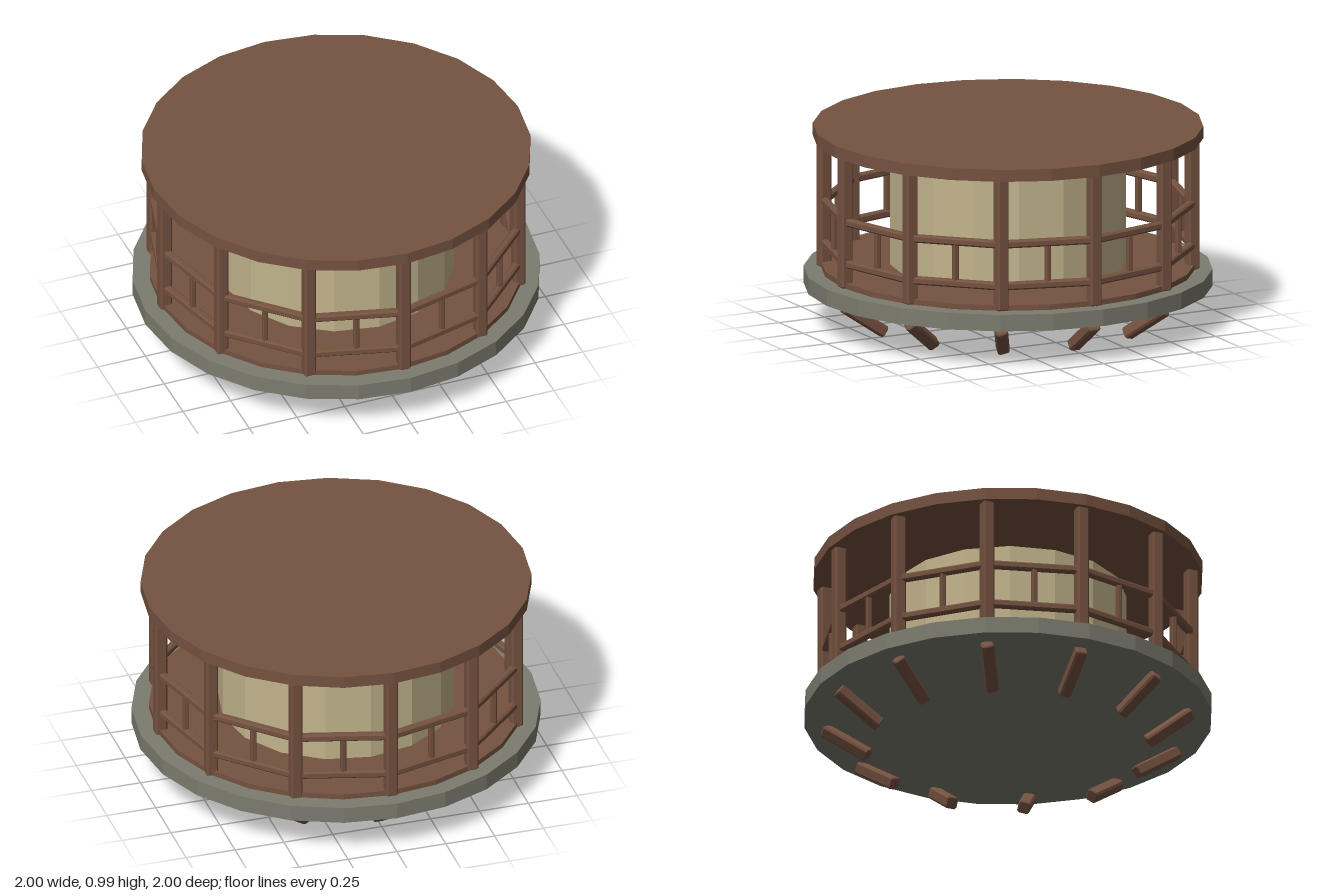
import * as THREE from 'three';

const wood = new THREE.MeshStandardMaterial({ color: 0x755240 });
wood.name = 'brown wood';
const stone = new THREE.MeshStandardMaterial({ color: 0x7c7c6f });
stone.name = 'grey stone';
const plaster = new THREE.MeshStandardMaterial({ color: 0xc2b48c });
plaster.name = 'pale plaster';

// Flat-faced drum standing on y0
function drum(name, material, radius, y0, y1, sides) {
  const g = new THREE.CylinderGeometry(radius, radius, y1 - y0, sides).toNonIndexed();
  g.computeVertexNormals();
  const mesh = new THREE.Mesh(g, material);
  mesh.name = name;
  mesh.position.y = (y0 + y1) / 2;
  return mesh;
}

// Square beam with chamfered edges, centred, running along y
function beamGeometry(width, length, chamfer) {
  const h = width / 2 - chamfer, c = chamfer;
  const s = new THREE.Shape();
  s.moveTo(-h + c, -h);
  s.lineTo(h - c, -h);
  s.lineTo(h, -h + c);
  s.lineTo(h, h - c);
  s.lineTo(h - c, h);
  s.lineTo(-h + c, h);
  s.lineTo(-h, h - c);
  s.lineTo(-h, -h + c);
  s.closePath();
  const g = new THREE.ExtrudeGeometry(s, {
    depth: length - 2 * c, bevelEnabled: true, bevelSize: c, bevelThickness: c, bevelSegments: 1,
  });
  g.translate(0, 0, -length / 2 + c);
  g.rotateX(-Math.PI / 2);
  return g;
}

export function createModel() {
  const model = new THREE.Group();
  model.name = 'roundPavilion';

  // Stacked round parts
  model.add(
    drum('base', stone, 1, 0.2, 0.283, 24),
    drum('floor', wood, 0.915, 0.283, 0.31, 24),
    drum('core', plaster, 0.578, 0.31, 0.86, 16),
    drum('roof', wood, 0.955, 0.94, 1, 24),
  );

  const bays = 12, ring = 0.9;
  const step = (Math.PI * 2) / bays;
  const midRing = ring * Math.cos(step / 2);
  const postGeo = beamGeometry(0.06, 0.66, 0.005);
  const strutGeo = beamGeometry(0.06, 0.264, 0.006);
  const railGeo = beamGeometry(0.038, 2 * ring * Math.sin(step / 2) + 0.025, 0.005);
  railGeo.rotateZ(Math.PI / 2);
  const balusterGeo = beamGeometry(0.027, 0.21, 0.003);

  const add = (name, geo, radius, angle, y) => {
    const mesh = new THREE.Mesh(geo, wood);
    mesh.name = name;
    mesh.position.set(radius * Math.sin(angle), y, radius * Math.cos(angle));
    model.add(mesh);
    return mesh;
  };

  const slope = THREE.MathUtils.degToRad(34);
  for (let i = 0; i < bays; i++) {
    const a = i * step, mid = a + step / 2;

    // Posts all stay square to the axes
    add('post', postGeo, ring, a, 0.615);

    // Struts lean outward beneath the base
    const strut = add('strut', strutGeo, 0.794, a, 0.111);
    const dx = Math.cos(slope) * Math.sin(a), dz = Math.cos(slope) * Math.cos(a);
    strut.rotation.set(Math.asin(dz), 0, Math.atan2(-dx, Math.sin(slope)), 'ZXY');

    // Railing of each bay
    add('upperRail', railGeo, midRing, mid, 0.613).rotation.y = mid;
    add('lowerRail', railGeo, midRing, mid, 0.403).rotation.y = mid;
    add('baluster', balusterGeo, midRing, mid, 0.508);
  }
  return model;
}
